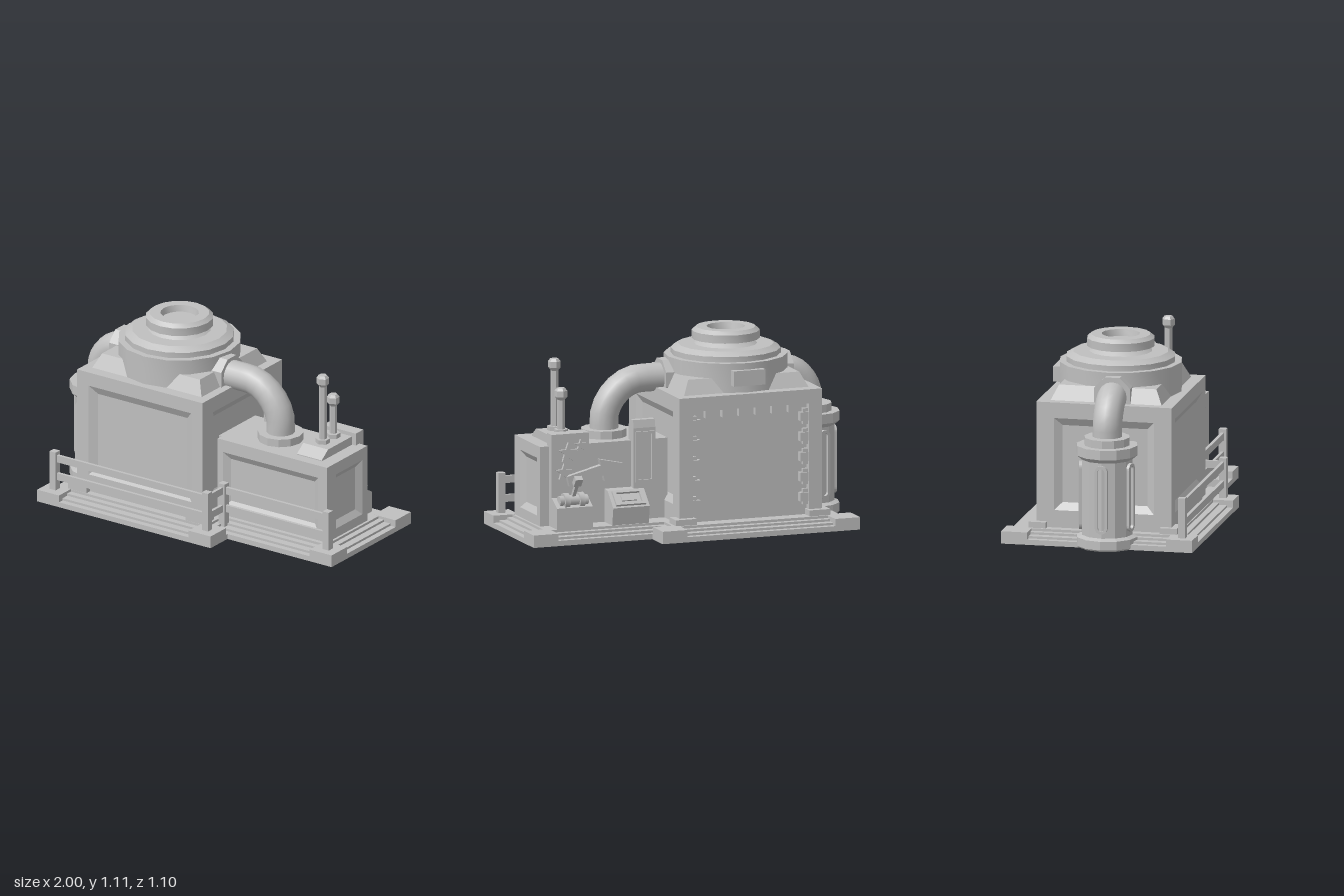
import * as THREE from 'three';
import { toCreasedNormals } from 'three/addons/utils/BufferGeometryUtils.js';

const grey = new THREE.MeshStandardMaterial({ color: 0xbfbfbf });
grey.name = 'plain grey';

export function createModel() {
  const model = new THREE.Group();
  model.name = 'factoryBuilding';

  const add = (name, geo, parent = model) => {
    const mesh = new THREE.Mesh(geo, grey);
    mesh.name = name;
    parent.add(mesh);
    return mesh;
  };
  // box from its limits on each axis
  const box = (name, x0, x1, y0, y1, z0, z1, parent) => {
    const m = add(name, new THREE.BoxGeometry(x1 - x0, y1 - y0, z1 - z0), parent);
    m.position.set((x0 + x1) / 2, (y0 + y1) / 2, (z0 + z1) / 2);
    return m;
  };
  // turned part from [radius, height] points
  const lathe = (name, pts, sides, crease, x, z) => {
    const geo = new THREE.LatheGeometry(pts.map(p => new THREE.Vector2(...p)), sides);
    const m = add(name, toCreasedNormals(geo, crease));
    m.position.set(x, 0, z);
    return m;
  };
  // flat-shaded skin over four-cornered loops, closed at the last loop
  const loft = (loops) => {
    const pos = [];
    const quad = (a, b, c, d) => pos.push(...a, ...b, ...c, ...a, ...c, ...d);
    for (let i = 0; i + 1 < loops.length; i++)
      for (let j = 0; j < 4; j++) {
        const k = (j + 1) % 4;
        quad(loops[i][j], loops[i][k], loops[i + 1][k], loops[i + 1][j]);
      }
    quad(...loops[loops.length - 1]);
    const geo = new THREE.BufferGeometry();
    geo.setAttribute('position', new THREE.Float32BufferAttribute(pos, 3));
    geo.computeVertexNormals();
    return geo;
  };
  const rect = (u0, u1, v0, v1, w) => [[u0, v0, w], [u1, v0, w], [u1, v1, w], [u0, v1, w]];
  // wall slab with a sunken, bevelled panel
  const D = 0.04;
  const wall = (name, w, top, [u0, u1, v0, v1], bevel, x, z, turn) => {
    const m = add(name, loft([
      rect(-w / 2, w / 2, 0.05, top, 0), rect(-w / 2, w / 2, 0.05, top, D),
      rect(u0, u1, v0, v1, D),
      rect(u0 + bevel, u1 - bevel, v0 + bevel, v1 - bevel, bevel ? 0.015 : 0.003),
    ]));
    m.position.set(x, 0, z);
    m.rotation.y = turn;
  };
  // side outline [z, y] pushed along x
  const profile = (name, pts, x0, x1) => {
    const shape = new THREE.Shape(pts.map(([z, y]) => new THREE.Vector2(-z, y)));
    const m = add(name, new THREE.ExtrudeGeometry(shape, { depth: x1 - x0, bevelEnabled: false }));
    m.rotation.y = Math.PI / 2;
    m.position.x = x0;
    return m;
  };

  // stepped plinths with corner blocks
  const steps = (name, x0, x1, z0, z1) => [[0, 0.03], [0.035, 0.043], [0.08, 0.056], [0.115, 0.07]]
    .forEach(([i, h]) => box(name, x0 + i, x1 - i, 0, h, z0 + i, z1 - i));
  steps('mainSteps', -0.905, 0.285, -0.555, 0.545);
  steps('annexSteps', -0.1, 1, -0.395, 0.38);
  for (const x of [-0.905, 0.135]) for (const z of [-0.555, 0.395])
    box('mainCornerBlock', x, x + 0.15, 0, 0.071, z, z + 0.15);
  for (const z of [-0.395, 0.23]) box('annexCornerBlock', 0.85, 1, 0, 0.071, z, z + 0.15);
  for (const x of [-0.775, 0.03]) for (const z of [-0.428, 0.328])
    box('wallFoot', x, x + 0.125, 0.05, 0.104, z, z + 0.1);

  // main hall
  box('mainCore', -0.7, 0.08, 0.05, 0.79, -0.35, 0.35);
  wall('mainFrontWall', 0.86, 0.79, [-0.35, 0.355, 0.17, 0.71], 0.047, -0.31, 0.35, 0);
  wall('mainRightSideWall', 0.7, 0.79, [-0.287, 0.287, 0.17, 0.7], 0.043, 0.08, 0, Math.PI / 2);
  wall('mainLeftSideWall', 0.7, 0.79, [-0.287, 0.287, 0.17, 0.7], 0.043, -0.7, 0, -Math.PI / 2);
  wall('doorwayWall', 0.86, 0.79, [-0.35, 0.35, 0.07, 0.71], 0, -0.31, -0.35, Math.PI);

  // blocks lining the back doorway
  for (let i = 0; i < 5; i++) {
    const y = 0.15 + i * 0.115;
    for (const s of [-1, 1]) {
      const x = -0.31 + s * 0.325;
      box('doorTooth', x - 0.025, x + 0.025, y, y + 0.05, -0.385, -0.35);
      box('doorToothCap', x + s * 0.01 - 0.015, x + s * 0.01 + 0.015, y - 0.02, y + 0.07, -0.375, -0.35);
    }
  }
  for (let i = 0; i < 6; i++) {
    const x = -0.56 + i * 0.1;
    box('doorTopTooth', x - 0.02, x + 0.02, 0.665, 0.71, -0.385, -0.35);
  }

  // roof base and dome
  const level = (hx, hz, y) => [[-hx, y, hz], [hx, y, hz], [hx, y, -hz], [-hx, y, -hz]];
  add('roofBase', loft([level(0.375, 0.32, 0.79), level(0.335, 0.28, 0.873)])).position.x = -0.31;
  lathe('dome', [[0.348, 0.79], [0.348, 0.957], [0.31, 0.957], [0.31, 0.988], [0.27, 1.012],
    [0.178, 1.012], [0.137, 1.042], [0.192, 1.042], [0.192, 1.088], [0.168, 1.108],
    [0.108, 1.108], [0.1, 1.07], [0, 1.07]], 16, 0.42, -0.31, 0);
  box('domePlaque', -0.405, -0.215, 0.832, 0.92, -0.37, -0.3);

  // annex
  box('annexCore', 0.1, 0.83, 0.05, 0.525, -0.155, 0.2);
  wall('annexFrontWall', 0.75, 0.525, [-0.34, 0.315, 0.115, 0.45], 0.04, 0.495, 0.2, 0);
  wall('annexSideWall', 0.355, 0.525, [-0.13, 0.13, 0.125, 0.455], 0.036, 0.83, 0.0225, Math.PI / 2);

  // pipes: straight run, bend, drop
  const pipe = (name, x0, xb, x1, yTop, yBend, y1, r) => {
    const v = (x, y) => new THREE.Vector3(x, y, 0.037);
    const k = 0.45;
    const path = new THREE.CurvePath();
    path.add(new THREE.LineCurve3(v(x0, yTop), v(xb, yTop)));
    path.add(new THREE.CubicBezierCurve3(v(xb, yTop), v(x1 + (xb - x1) * k, yTop),
      v(x1, yTop + (yBend - yTop) * (1 - k)), v(x1, yBend)));
    path.add(new THREE.LineCurve3(v(x1, yBend), v(x1, y1)));
    add(name, new THREE.TubeGeometry(path, 12, r, 16));
  };
  pipe('rightPipe', -0.05, 0.19, 0.41, 0.838, 0.62, 0.54, 0.081);
  pipe('leftPipe', -0.58, -0.66, -0.815, 0.832, 0.67, 0.6, 0.084);
  const flat = geo => toCreasedNormals(geo, 0.1);
  for (const [x, w] of [[0.0, 0.15], [-0.62, 0.15]]) {
    const collar = add('pipeCollar', flat(new THREE.CylinderGeometry(0.112, 0.112, w, 8)));
    collar.rotation.set(0, Math.PI / 8, Math.PI / 2, 'ZYX');
    collar.position.set(x, 0.835, 0.037);
  }
  lathe('pipeFlange', [[0.13, 0.52], [0.13, 0.57], [0, 0.57]], 12, 0.1, 0.41, 0.037);

  // side tank with raised slots
  const tank = [-0.825, 0.037];
  lathe('tank', [[0, 0], [0.165, 0], [0.175, 0.01], [0.175, 0.06], [0.146, 0.072], [0.146, 0.505],
    [0.175, 0.53], [0.175, 0.585], [0.13, 0.585], [0.13, 0.63], [0, 0.63]], 12, 0.1, ...tank);
  const pill = (P, r, h) => {
    const p = new P();
    p.absarc(0, h, r, 0, Math.PI, false);
    p.absarc(0, -h, r, Math.PI, Math.PI * 2, false);
    p.closePath();
    return p;
  };
  const slot = pill(THREE.Shape, 0.036, 0.16);
  slot.holes.push(pill(THREE.Path, 0.02, 0.16));
  const slotGeo = new THREE.ExtrudeGeometry(slot, { depth: 0.025, bevelEnabled: false, curveSegments: 6 });
  for (const a of [105, 180, 255]) {
    const t = a * Math.PI / 180;
    const rim = add('tankSlot', slotGeo);
    rim.position.set(tank[0] + Math.cos(t) * 0.133, 0.295, tank[1] + Math.sin(t) * 0.133);
    rim.rotation.y = Math.PI / 2 - t;
  }

  // fence
  for (const [x, z] of [[-0.835, 0.473], [0.21, 0.473], [0.21, 0.31], [0.925, 0.31]])
    box('fencePost', x - 0.021, x + 0.021, 0.03, 0.3, z - 0.021, z + 0.021);
  for (const y of [0.13, 0.238]) {
    box('mainFenceRail', -0.835, 0.21, y, y + 0.042, 0.464, 0.482);
    box('annexFenceRail', 0.21, 0.925, y, y + 0.042, 0.301, 0.319);
    box('linkFenceRail', 0.201, 0.219, y, y + 0.042, 0.31, 0.473);
  }

  // antenna stand and antennas
  profile('antennaStand', [[0.177, 0.52], [0.177, 0.53], [0.115, 0.575], [-0.13, 0.575], [-0.13, 0.52]], 0.62, 0.79);
  for (const [z, top] of [[0.045, 0.985], [-0.057, 0.835]]) {
    lathe('antenna', [[0.041, 0.57], [0.041, 0.6], [0.022, 0.6], [0.022, top - 0.068], [0.036, top - 0.05],
      [0.036, top - 0.016], [0.024, top], [0, top]], 6, 0.1, 0.705, z);
  }

  // back boards
  profile('tallBoard', [[-0.112, 0.5], [-0.112, 0.608], [-0.148, 0.645], [-0.185, 0.645], [-0.195, 0.6],
    [-0.195, 0.25], [-0.15, 0.25], [-0.15, 0.5]], 0.19, 0.32);
  for (const x of [0.2, 0.295]) box('tallBoardTrim', x, x + 0.015, 0.29, 0.58, -0.205, -0.19);
  for (const y of [0.29, 0.565]) box('tallBoardTrim', 0.2, 0.31, y, y + 0.015, -0.205, -0.19);
  box('starBoard', 0.59, 0.815, 0.22, 0.597, -0.195, -0.12);
  const star = new THREE.Shape(Array.from({ length: 10 }, (_, i) => {
    const r = i % 2 ? 0.4 : 1, a = i * Math.PI / 5 + Math.PI / 2;
    return new THREE.Vector2(Math.cos(a) * r, Math.sin(a) * r);
  }));
  const starGeo = new THREE.ExtrudeGeometry(star, { depth: 1, bevelEnabled: false });
  for (const [x, y, r] of [[0.72, 0.49, 0.06], [0.745, 0.38, 0.05], [0.645, 0.53, 0.035]]) {
    const s = add('star', starGeo);
    s.scale.set(r, r, 0.02);
    s.position.set(x, y, -0.212);
  }
  const arrow = new THREE.Shape([[0.17, -0.03], [0.17, 0.03], [-0.04, 0.03], [-0.04, 0.065], [-0.17, 0],
    [-0.04, -0.065], [-0.04, -0.03]].map(p => new THREE.Vector2(...p)));
  const pointer = add('arrowSign', new THREE.ExtrudeGeometry(arrow, { depth: 0.035, bevelEnabled: false }));
  pointer.position.set(0.56, 0.37, -0.225);
  pointer.rotation.z = -0.25;

  // lever desk
  profile('leverDesk', [[-0.15, 0.05], [-0.15, 0.24], [-0.2, 0.235], [-0.28, 0.19], [-0.28, 0.05]], 0.6, 0.815);
  for (const [x, w, r] of [[0.705, 0.17, 0.03], [0.66, 0.03, 0.045], [0.75, 0.03, 0.045]]) {
    const drum = add('leverDrum', toCreasedNormals(new THREE.CylinderGeometry(r, r, w, 12), 0.6));
    drum.rotation.z = Math.PI / 2;
    drum.position.set(x, 0.225, -0.243);
  }
  const lever = new THREE.Group();
  lever.name = 'lever';
  lever.position.set(0.705, 0.235, -0.235);
  lever.rotation.x = -0.63;
  box('leverArm', -0.01, 0.01, 0, 0.13, -0.01, 0.01, lever);
  box('leverGrip', -0.022, 0.022, 0.11, 0.165, -0.016, 0.016, lever);
  model.add(lever);

  // screen desk
  profile('screenDesk', [[-0.15, 0.05], [-0.15, 0.26], [-0.2, 0.255], [-0.29, 0.17], [-0.27, 0.05]], 0.26, 0.48);
  const screen = new THREE.Group();
  screen.name = 'screen';
  screen.position.set(0.37, 0.2125, -0.245);
  screen.rotation.x = -0.757;
  for (const s of [-1, 1]) {
    box('screenFrame', -0.09, 0.09, -0.01, 0.015, s * 0.042 - 0.008, s * 0.042 + 0.008, screen);
    box('screenFrame', s * 0.08 - 0.01, s * 0.08 + 0.01, -0.01, 0.015, -0.05, 0.05, screen);
  }
  box('screenGlass', -0.045, 0.045, -0.01, 0.008, -0.018, 0.018, screen);
  model.add(screen);

  return model;
}
